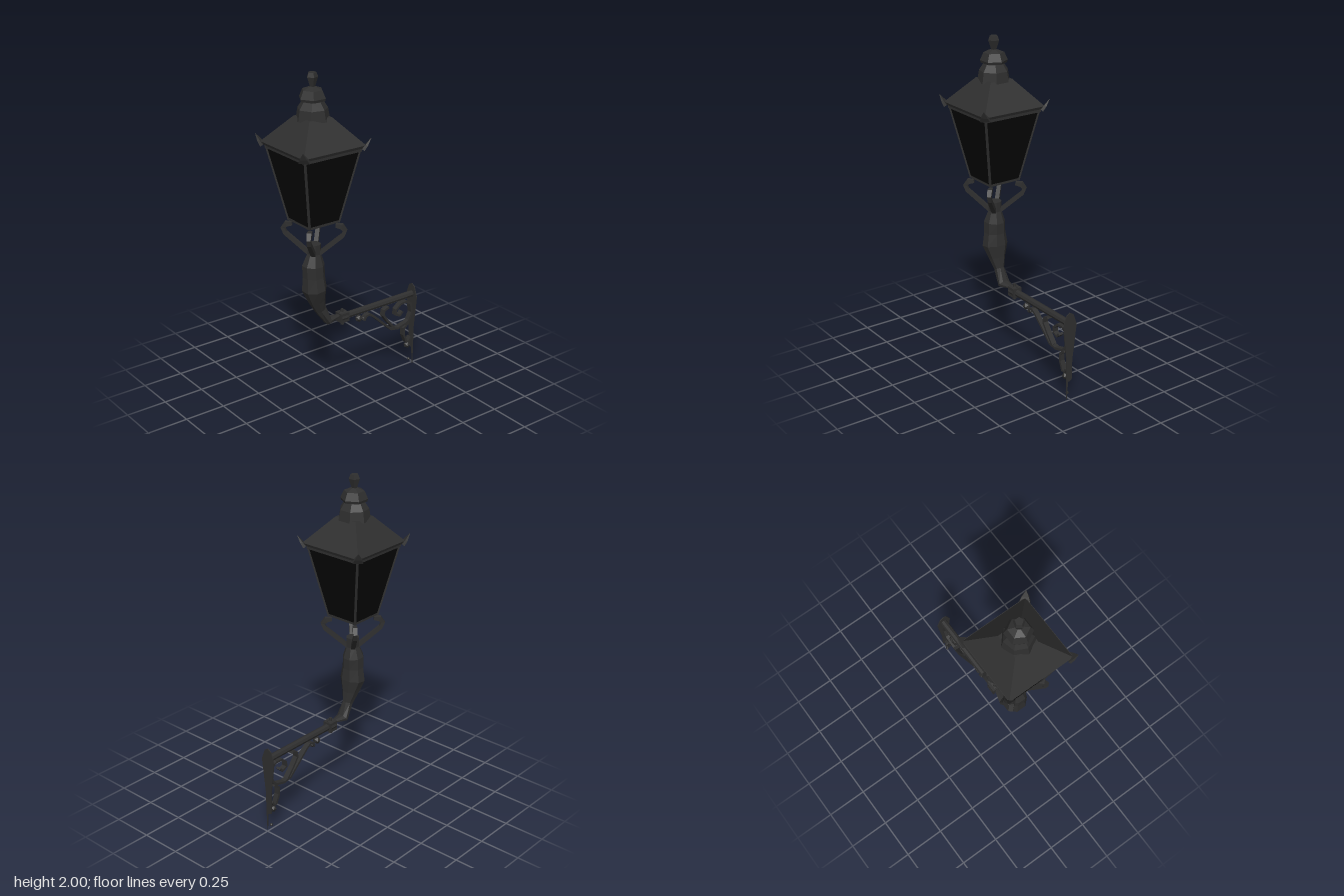
import * as THREE from 'three';

const V = (x, y, z) => new THREE.Vector3(x, y, z);
const LZ = 0.255; // z of the lantern axis

// Flat-faced loft along a path: u is the width direction, wu and wv are half sizes (number or list)
function sweep(path, u, wu, wv, n = 4) {
  const at = (w, i) => (Array.isArray(w) ? w[i] : w);
  const k = n === 4 ? Math.SQRT2 : 1;
  const rings = path.map((p, i) => {
    const a = path[Math.max(i - 1, 0)], b = path[Math.min(i + 1, path.length - 1)];
    const v = b.clone().sub(a).normalize().cross(u).normalize();
    return Array.from({ length: n }, (_, j) => {
      const t = ((j + 0.5) / n) * Math.PI * 2;
      return p.clone().addScaledVector(u, Math.cos(t) * k * at(wu, i)).addScaledVector(v, Math.sin(t) * k * at(wv, i));
    });
  });
  const tris = [];
  for (let i = 0; i < rings.length - 1; i++) {
    for (let j = 0; j < n; j++) {
      const m = (j + 1) % n, r = rings[i], s = rings[i + 1];
      tris.push(r[j], r[m], s[m], r[j], s[m], s[j]);
    }
  }
  const first = rings[0], last = rings[rings.length - 1];
  for (let j = 1; j < n - 1; j++) tris.push(first[0], first[j + 1], first[j], last[0], last[j], last[j + 1]);
  const g = new THREE.BufferGeometry().setFromPoints(tris);
  g.computeVertexNormals();
  return g;
}

function flat(g) {
  const f = g.toNonIndexed();
  f.computeVertexNormals();
  return f;
}

export function createModel() {
  const iron = new THREE.MeshStandardMaterial({ color: 0x2e2e2e, side: THREE.DoubleSide });
  iron.name = 'dark iron';
  const glass = new THREE.MeshStandardMaterial({ color: 0x050505, side: THREE.DoubleSide });
  glass.name = 'black glass';

  const root = new THREE.Group();
  root.name = 'wallLantern';
  const lantern = new THREE.Group();
  lantern.name = 'lantern';
  lantern.position.z = LZ;
  const bracket = new THREE.Group();
  bracket.name = 'wallBracket';
  root.add(lantern, bracket);

  const add = (parent, name, geo, mat = iron, x = 0, y = 0, z = 0) => {
    const m = new THREE.Mesh(geo, mat);
    m.name = name;
    m.position.set(x, y, z);
    parent.add(m);
    return m;
  };
  // Square frustum given by half widths
  const frustum = (top, bottom, h, open) =>
    flat(new THREE.CylinderGeometry(top * Math.SQRT2, bottom * Math.SQRT2, h, 4, 1, open).rotateY(Math.PI / 4));

  // Glass case, ceiling and roof
  add(lantern, 'glassPanes', frustum(0.19, 0.103, 0.45, true), glass, 0, 1.365, 0);
  add(lantern, 'ceiling', new THREE.BoxGeometry(0.38, 0.006, 0.38), glass, 0, 1.582, 0);
  add(lantern, 'roofRim', frustum(0.212, 0.205, 0.016), iron, 0, 1.591, 0);
  add(lantern, 'roof', frustum(0.075, 0.21, 0.155), iron, 0, 1.675, 0);

  // Frame bars along the four sides
  for (let i = 0; i < 4; i++) {
    const side = new THREE.Group();
    side.name = 'frameSide';
    side.rotation.y = (i * Math.PI) / 2;
    lantern.add(side);
    add(side, 'topRail', new THREE.BoxGeometry(0.386, 0.022, 0.012), iron, 0, 1.573, 0.186);
    add(side, 'bottomRail', new THREE.BoxGeometry(0.212, 0.014, 0.026), iron, 0, 1.146, 0.093);
  }

  // Corner bars, roof horns and carrying arms on the diagonals
  for (const sx of [-1, 1]) {
    for (const sz of [-1, 1]) {
      const d = (r, y) => V(sx * r, y, sz * r);
      const u = V(sz, 0, -sx).normalize();
      add(lantern, 'cornerBar', sweep([d(0.102, 1.14), d(0.189, 1.585)], u, 0.007, 0.005));
      add(lantern, 'roofHorn', sweep([d(0.2, 1.58), d(0.213, 1.605), d(0.228, 1.642)], u, [0.03, 0.02, 0.001], [0.009, 0.007, 0.001]));
      add(lantern, 'carryingArm', sweep(
        [d(0.012, 0.93), d(0.06, 0.99), d(0.117, 1.06), d(0.126, 1.09), d(0.112, 1.115), d(0.088, 1.118)],
        u, [0.013, 0.013, 0.012, 0.012, 0.014, 0.012], [0.012, 0.012, 0.012, 0.012, 0.015, 0.01]));
    }
  }

  // Stacked chimney caps and finial
  const turned = (pts, n) => flat(new THREE.LatheGeometry(pts.map(([r, y]) => new THREE.Vector2(r, y)), n));
  add(lantern, 'chimneyCap', turned([[0, 1.735], [0.097, 1.735], [0.086, 1.8], [0.06, 1.84], [0.04, 1.85]], 7));
  add(lantern, 'upperCap', turned([[0, 1.845], [0.075, 1.845], [0.08, 1.86], [0.06, 1.905], [0.016, 1.922]], 6));
  add(lantern, 'finial', turned([[0.012, 1.91], [0.033, 1.975], [0.024, 2], [0, 2]], 5));

  // Swelling post that bends back to the bracket
  const X = V(1, 0, 0);
  const yz = (pts) => pts.map(([z, y]) => V(0, y, z));
  add(root, 'post', sweep(
    yz([[0.08, 0.495], [0.165, 0.49], [0.215, 0.575], [0.238, 0.64], [0.258, 0.72], [0.26, 0.8], [0.262, 0.87], [0.256, 0.94], [0.255, 1]]),
    X, [0.014, 0.04, 0.03, 0.05, 0.078, 0.065, 0.063, 0.04, 0.04],
    [0.008, 0.025, 0.036, 0.052, 0.072, 0.065, 0.068, 0.04, 0.04], 8));

  // Horizontal rod and collar
  add(bracket, 'rod', flat(new THREE.CylinderGeometry(0.021, 0.021, 0.54, 8).rotateX(Math.PI / 2)), iron, 0, 0.48, -0.21);
  add(bracket, 'collar', flat(new THREE.CylinderGeometry(0.034, 0.034, 0.045, 8).rotateX(Math.PI / 2)), iron, 0, 0.482, 0.055);
  add(bracket, 'collarFlange', new THREE.BoxGeometry(0.058, 0.058, 0.06), iron, 0, 0.482, 0.055);
  add(bracket, 'collarPin', flat(new THREE.CylinderGeometry(0.009, 0.012, 0.1, 6)), iron, 0, 0.481, 0.057);

  // Wall plate with a narrow tail
  const plate = new THREE.Shape([
    [0, 0.55], [-0.024, 0.535], [-0.047, 0.47], [-0.04, 0.41], [-0.02, 0.25], [-0.018, 0.12],
    [0.008, 0.11], [0.016, 0], [0.02, 0.12], [0.021, 0.25], [0.04, 0.41], [0.047, 0.47], [0.024, 0.535],
  ].map(([x, y]) => new THREE.Vector2(x, y)));
  add(bracket, 'wallPlate', new THREE.ExtrudeGeometry(plate, { depth: 0.006, bevelEnabled: false }), iron, 0, 0, -0.485);

  // Scrolled ribbons below the rod
  const scrolls = {
    diagonalScroll: [[-0.1, 0.41], [-0.115, 0.435], [-0.14, 0.44], [-0.17, 0.42], [-0.24, 0.355], [-0.31, 0.29], [-0.365, 0.28], [-0.445, 0.3]],
    innerScroll: [[-0.335, 0.29], [-0.285, 0.35], [-0.25, 0.4], [-0.256, 0.432], [-0.29, 0.445]],
    wallScroll: [[-0.42, 0.29], [-0.45, 0.31], [-0.473, 0.36], [-0.463, 0.42], [-0.43, 0.443], [-0.385, 0.44],
      [-0.348, 0.41], [-0.346, 0.378], [-0.378, 0.362], [-0.4, 0.385]],
    lowerScroll: [[-0.45, 0.295], [-0.412, 0.265], [-0.412, 0.22], [-0.435, 0.165], [-0.455, 0.165], [-0.47, 0.19]],
  };
  for (const [name, pts] of Object.entries(scrolls)) add(bracket, name, sweep(yz(pts), X, 0.016, 0.007));

  // Small leaf ends
  for (const [z, y, r] of [[-0.068, 0.432, 0.024], [-0.11, 0.418, 0.016], [-0.45, 0.135, 0.022], [-0.467, 0.03, 0.01]]) {
    add(bracket, 'leafEnd', new THREE.IcosahedronGeometry(r, 0), iron, 0, y, z);
  }
  return root;
}
